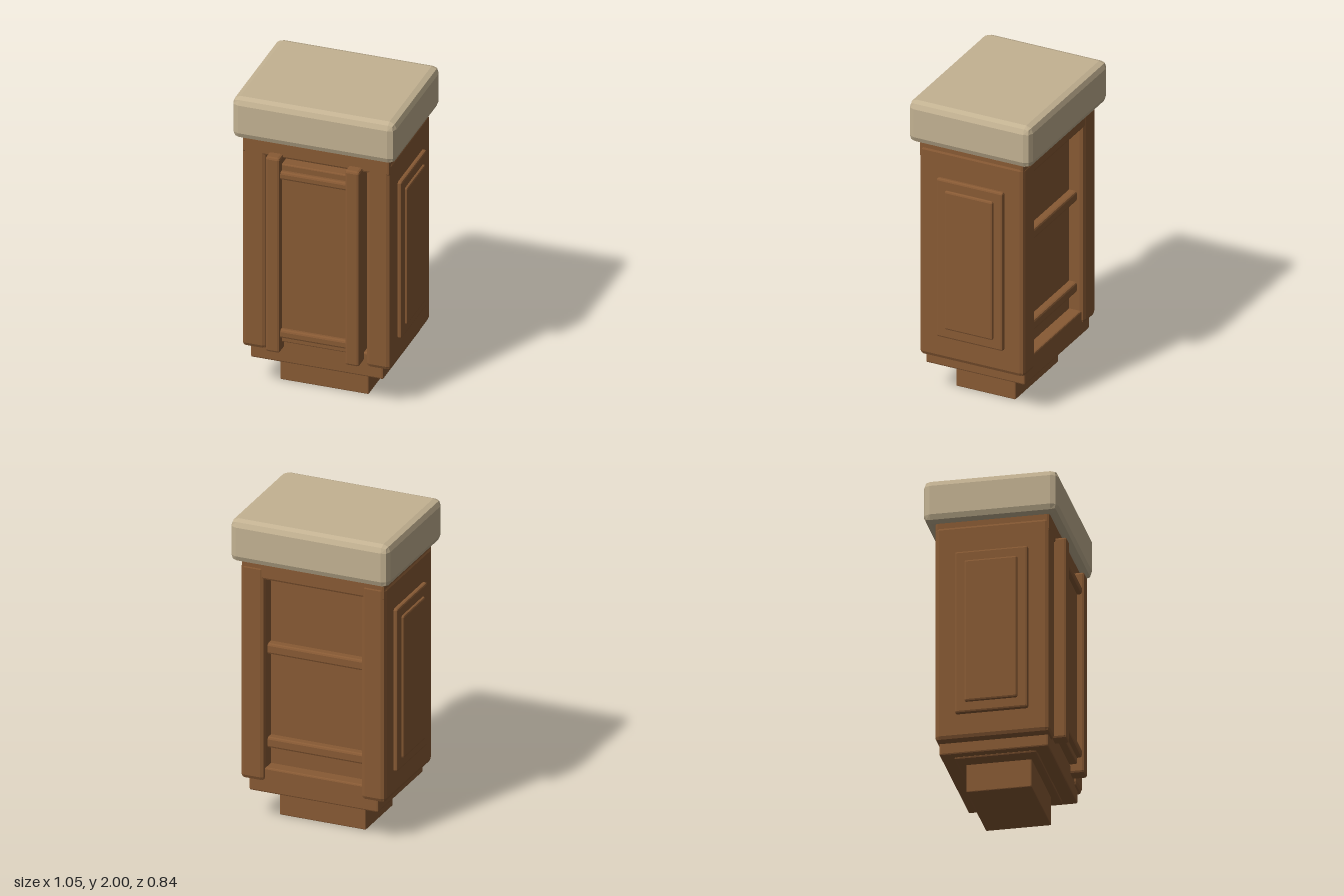
import * as THREE from 'three';
import { RoundedBoxGeometry } from 'three/addons/geometries/RoundedBoxGeometry.js';

export function createModel() {
  const model = new THREE.Group();
  model.name = 'counterCabinet';
  const wood = new THREE.MeshStandardMaterial({ color: 0x885a34 });
  wood.name = 'brown wood';
  const stone = new THREE.MeshStandardMaterial({ color: 0xc3b292 });
  stone.name = 'beige stone';

  // Box between two corners, with a faceted two-step bevel
  function block(name, [x0, x1], [y0, y1], [z0, z1], bevel, material = wood) {
    const geometry = new RoundedBoxGeometry(x1 - x0, y1 - y0, z1 - z0, 1, bevel);
    geometry.computeVertexNormals();
    const mesh = new THREE.Mesh(geometry, material);
    mesh.name = name;
    mesh.position.set((x0 + x1) / 2, (y0 + y1) / 2, (z0 + z1) / 2);
    model.add(mesh);
    return mesh;
  }

  // Stepped base
  block('foot', [-0.285, 0.285], [0, 0.22], [-0.205, 0.2], 0.006);
  block('footCollar', [-0.38, 0.38], [0.182, 0.24], [-0.26, 0.25], 0.012);
  block('plinth', [-0.427, 0.427], [0.195, 0.36], [-0.342, 0.333], 0.01);

  // Recessed core between the side walls, and the rail under the top
  block('core', [-0.36, 0.36], [0.3, 1.68], [-0.26, 0.27], 0.005);
  block('topRail', [-0.475, 0.475], [1.608, 1.75], [-0.357, 0.352], 0.015);

  // Worktop
  block('worktop', [-0.525, 0.525], [1.72, 2], [-0.425, 0.41], 0.045, stone);

  // Side walls with raised panels, and the door posts
  for (const [side, s] of [['left', 1], ['right', -1]]) {
    const span = (a, b) => (s > 0 ? [a, b] : [-b, -a]);
    block(side + 'Wall', span(0.318, 0.48), [0.27, 1.7], [-0.36, 0.352], 0.028);
    block(side + 'PanelFrame', span(0.44, 0.505), [0.433, 1.51], [-0.23, 0.222], 0.012);
    block(side + 'Panel', span(0.46, 0.52), [0.5, 1.443], [-0.168, 0.16], 0.012);
    block(side + 'DoorPost', span(0.21, 0.302), [0.3, 1.64], [0.25, 0.42], 0.015);
  }

  // Front door panel and its rails
  block('doorPanel', [-0.225, 0.225], [0.36, 1.585], [0.25, 0.375], 0.008);
  for (const [name, y0, y1] of [['lowerDoorRail', 0.4, 0.457], ['upperDoorRail', 1.49, 1.543]]) {
    block(name, [-0.225, 0.225], [y0, y1], [0.3, 0.405], 0.014);
  }

  // Shelves in the open back
  for (const [name, y] of [['lowerShelf', 0.48], ['upperShelf', 1.1]]) {
    block(name, [-0.34, 0.34], [y, y + 0.07], [-0.312, -0.22], 0.014);
  }
  return model;
}
